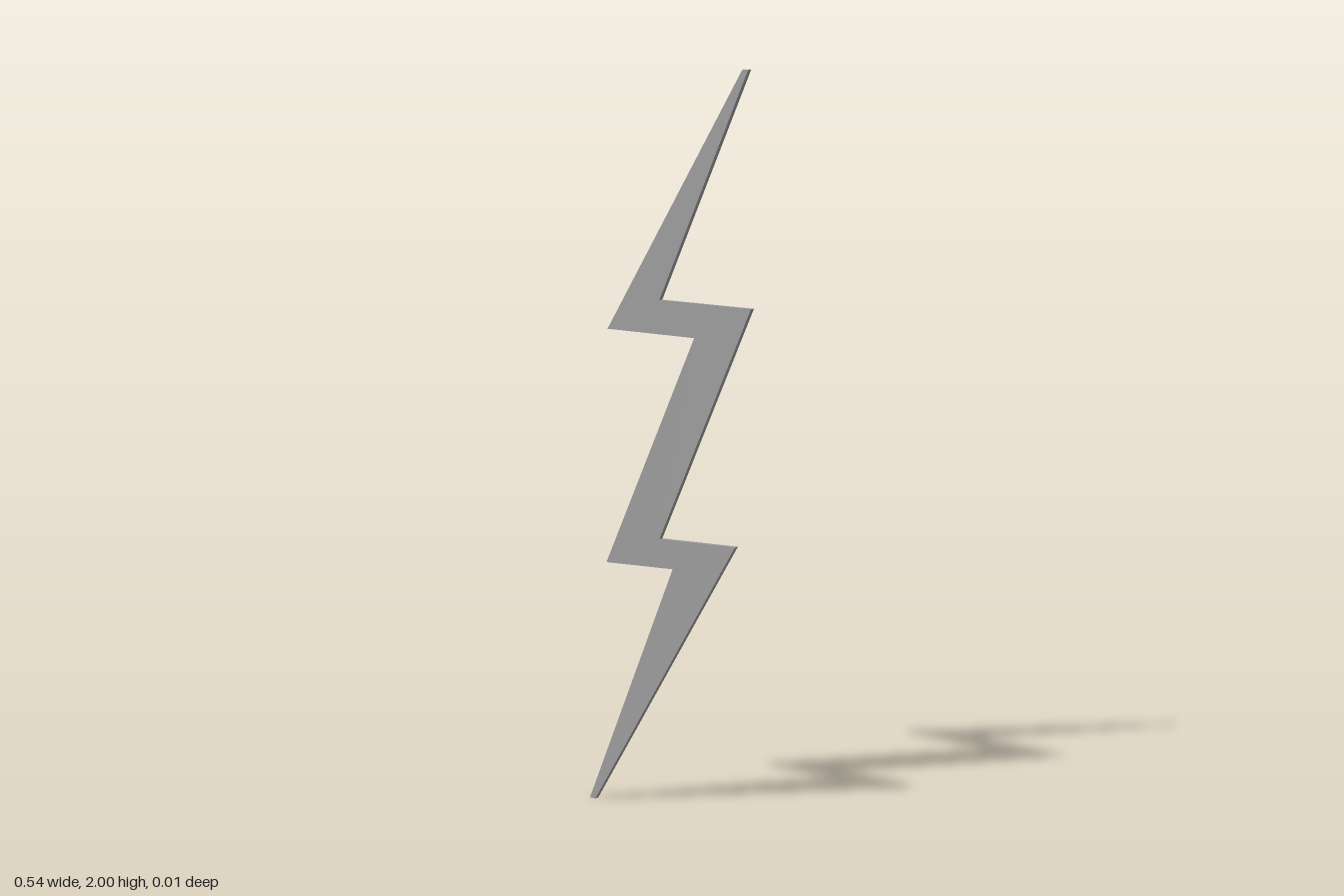
import * as THREE from 'three';

const THICKNESS = 0.013;

export function createModel() {
  const group = new THREE.Group();
  group.name = 'lightningBolt';

  // Zigzag outline, counter-clockwise from the bottom tip
  const outline = [
    [-0.269, 0], [-0.25, 0],
    [0.222, 0.772], [-0.026, 0.761],
    [0.269, 1.398], [-0.026, 1.398],
    [0.256, 2], [0.238, 2],
    [-0.2, 1.308], [0.088, 1.308],
    [-0.207, 0.673], [0.018, 0.685],
  ].map(([x, y]) => new THREE.Vector2(x, y));

  // Thin flat plate with sharp edges
  const geometry = new THREE.ExtrudeGeometry(new THREE.Shape(outline), {
    depth: THICKNESS,
    bevelEnabled: false,
  });
  geometry.translate(0, 0, -THICKNESS / 2);

  const bolt = new THREE.Mesh(
    geometry,
    new THREE.MeshStandardMaterial({ color: 0x9d9d9d, flatShading: true })
  );
  bolt.name = 'boltPlate';
  group.add(bolt);
  return group;
}
